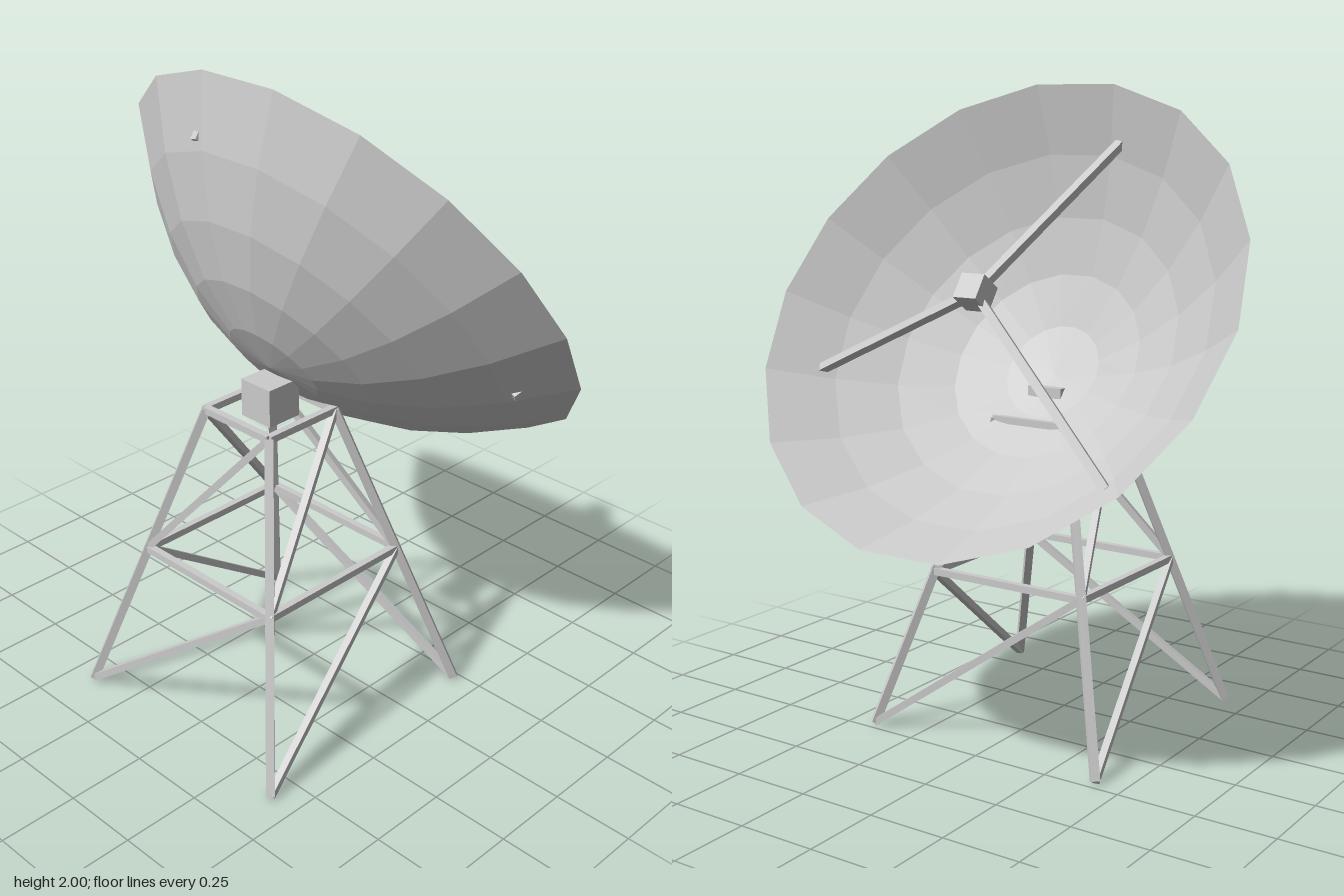
import * as THREE from 'three';

const V = (x, y, z) => new THREE.Vector3(x, y, z);
const grey = new THREE.MeshStandardMaterial({ color: 0xcccccc, flatShading: true });
const thin = new THREE.MeshStandardMaterial({ color: 0xcccccc, flatShading: true, side: THREE.DoubleSide });

function add(parent, name, geometry, material = grey) {
  const mesh = new THREE.Mesh(geometry, material);
  mesh.name = name;
  parent.add(mesh);
  return mesh;
}

// Square bar running from point a to point b
function bar(parent, name, a, b, size) {
  const mesh = add(parent, name, new THREE.BoxGeometry(size, size, a.distanceTo(b)));
  mesh.position.copy(a).lerp(b, 0.5);
  mesh.quaternion.setFromRotationMatrix(new THREE.Matrix4().lookAt(a, b, V(0, 1, 0)));
  return mesh;
}

// Tapered lattice tower: legs, two square rings and one diagonal per bay
function makeTower() {
  const tower = new THREE.Group();
  tower.name = 'tower';
  const signs = [[-1, 1], [1, 1], [1, -1], [-1, -1]];
  const levels = [[0.41, 0.008], [0.273, 0.498], [0.135, 0.98]];
  const corner = (level, i) => {
    const [half, y] = levels[level];
    const [sx, sz] = signs[i % 4];
    return V(sx * half, y, sz * half);
  };
  for (let i = 0; i < 4; i++) {
    bar(tower, 'leg', corner(0, i), corner(2, i), 0.026);
    for (const level of [0, 1]) {
      bar(tower, 'diagonalBrace', corner(level, i), corner(level + 1, i + 1), 0.022);
      bar(tower, 'ringBeam', corner(level + 1, i), corner(level + 1, i + 1), 0.022);
    }
  }
  tower.position.z = 0.185;
  return tower;
}

// Reflector with its feed; local y is the pointing axis, origin at rim centre
function makeDish() {
  const dish = new THREE.Group();
  dish.name = 'dish';
  const radius = 0.8, depth = 0.42, rings = 5;
  const bowlY = r => -depth * (1 - (r / radius) ** 2);

  const profile = [];
  for (let i = 0; i <= rings; i++) {
    const r = radius * i / rings;
    profile.push(new THREE.Vector2(r, bowlY(r)));
  }
  add(dish, 'reflector', new THREE.LatheGeometry(profile, 18, Math.PI / 2), thin);

  // Feed box held by three struts that just pierce the bowl
  const feed = V(0, 0.095, 0);
  add(dish, 'feedBox', new THREE.BoxGeometry(0.08, 0.08, 0.08)).position.copy(feed);
  const footRadius = 0.84 * radius;
  for (let k = 0; k < 3; k++) {
    const angle = -0.3 + k * Math.PI * 2 / 3;
    const foot = V(footRadius * Math.cos(angle), bowlY(footRadius), footRadius * Math.sin(angle));
    bar(dish, 'feedStrut', feed, foot, 0.026);
  }

  // Aim 35 degrees above the horizon, towards the back
  dish.rotation.x = -THREE.MathUtils.degToRad(55);
  dish.position.set(0, 1.355, -0.16);
  return dish;
}

export function createModel() {
  const model = new THREE.Group();
  model.name = 'dishAntenna';
  model.add(makeTower(), makeDish());
  // Mount block between tower top and reflector
  add(model, 'mountBlock', new THREE.BoxGeometry(0.12, 0.12, 0.12)).position.set(0, 1.02, 0.185);
  return model;
}
